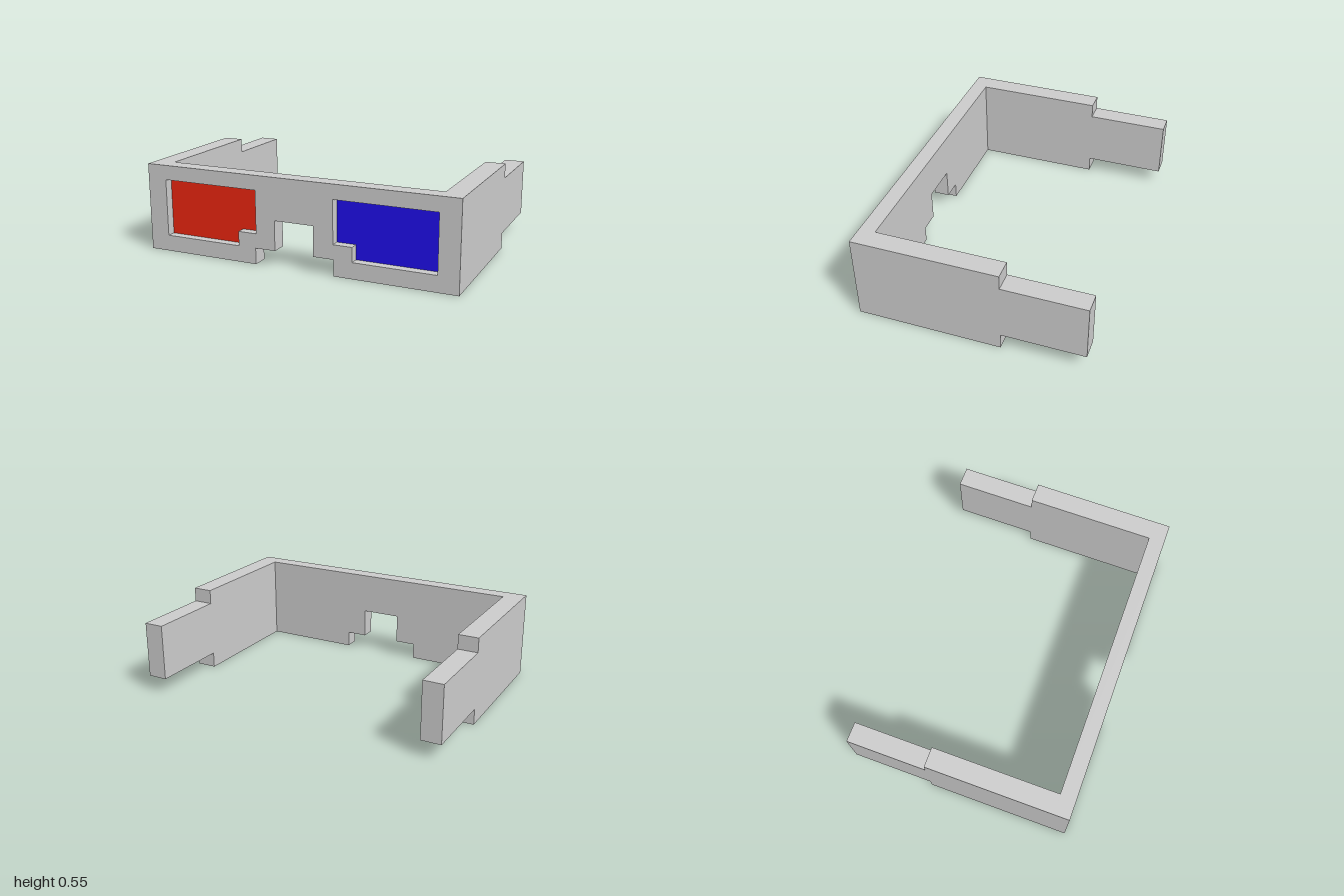
import * as THREE from 'three';

const FRONT = 0.705, INNER = 0.605, LENS = 0.65, BACK = -0.705, STEP = -0.195;
const TOP = 0.545, ARM = 0.125;

const points = (list) => list.map(([x, y]) => new THREE.Vector2(x, y));
const mirrored = (list) => list.map(([x, y]) => [-x, y]).reverse();
const material = (color) => new THREE.MeshStandardMaterial({ color });

function addMesh(group, name, geometry, mat) {
  const mesh = new THREE.Mesh(geometry, mat);
  mesh.name = name;
  group.add(mesh);
  return mesh;
}

export function createModel() {
  const group = new THREE.Group();
  group.name = 'glasses';
  const grey = material(0xcccccc);

  // Front frame: half outline with the stepped nose gap, mirrored
  const half = [[0.125, 0.285], [0.125, 0.1], [0.255, 0.1], [0.255, 0], [1, 0], [1, TOP]];
  const frame = new THREE.Shape(points([...half, ...mirrored(half)]));

  // Lens opening, notched at its lower inner corner
  const lensLeft = [[0.37, 0.1], [0.875, 0.1], [0.875, 0.455], [0.25, 0.455], [0.25, 0.19], [0.37, 0.19]];
  const lensRight = mirrored(lensLeft);
  frame.holes.push(new THREE.Path(points(lensLeft)), new THREE.Path(points(lensRight)));
  const frameGeometry = new THREE.ExtrudeGeometry(frame, { depth: FRONT - INNER, bevelEnabled: false });
  addMesh(group, 'frontFrame', frameGeometry.translate(0, 0, INNER), grey);

  // Recessed coloured lenses, each closed by a grey panel at the back
  for (const [side, outline, color] of [['left', lensLeft, 0x1e0ee8], ['right', lensRight, 0xe92510]]) {
    const lens = new THREE.ShapeGeometry(new THREE.Shape(points(outline)));
    addMesh(group, side + 'Lens', lens, material(color)).position.z = LENS;
    const panel = new THREE.ShapeGeometry(new THREE.Shape(points(mirrored(outline)))).rotateY(Math.PI);
    addMesh(group, side + 'LensBacking', panel, grey).position.z = INNER;
  }

  // Side arms: tall near the frame, stepping down to a narrower end
  const arm = new THREE.Shape(points([
    [INNER, 0], [INNER, TOP], [STEP, TOP], [STEP, 0.455],
    [BACK, 0.455], [BACK, 0.1], [STEP, 0.1], [STEP, 0],
  ]));
  const armGeometry = new THREE.ExtrudeGeometry(arm, { depth: ARM, bevelEnabled: false }).rotateY(-Math.PI / 2);
  addMesh(group, 'leftArm', armGeometry, grey).position.x = 1;
  addMesh(group, 'rightArm', armGeometry, grey).position.x = ARM - 1;

  return group;
}
